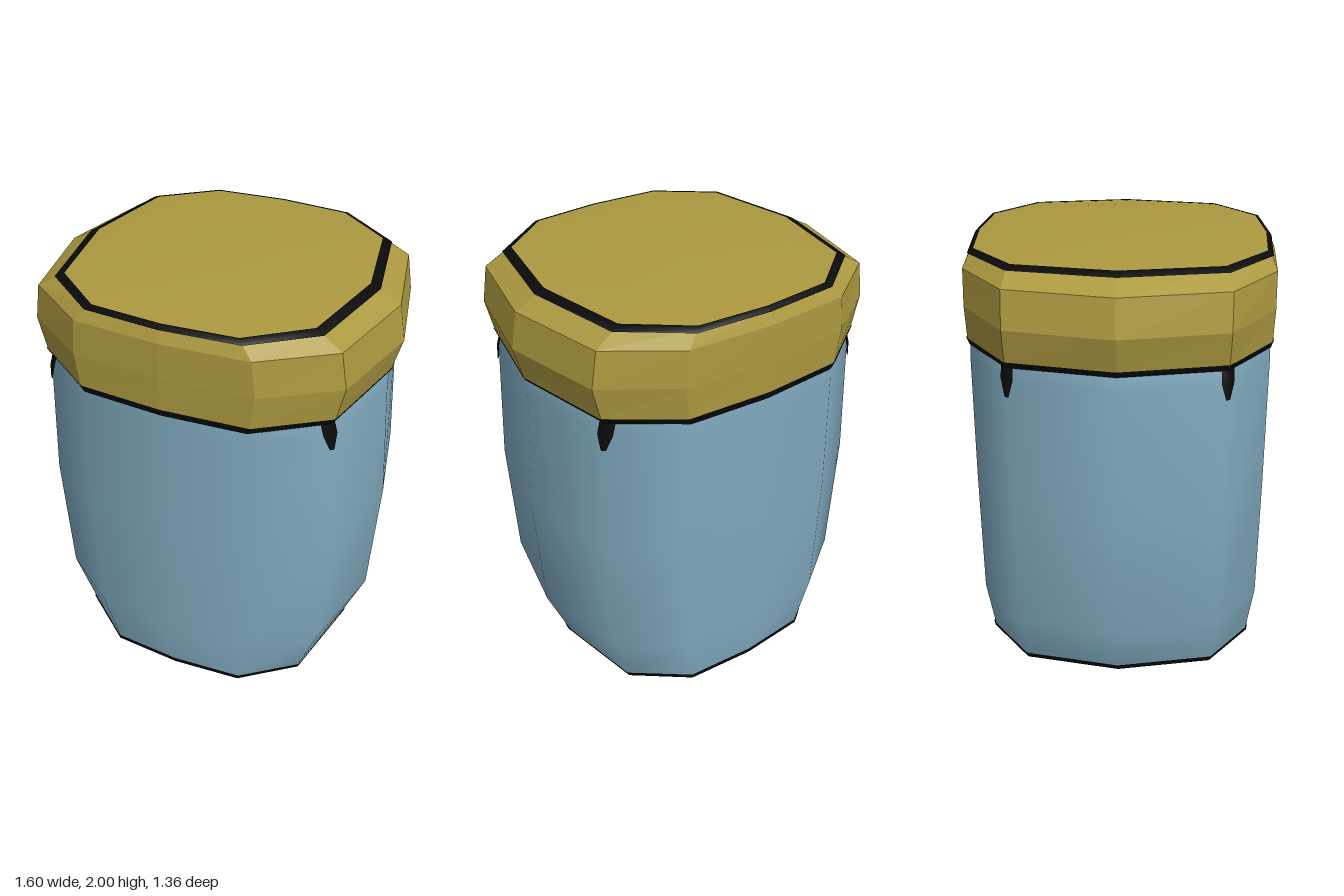
import * as THREE from 'three';

// Quarter of the twelve-sided outline, as fractions of the half width and half depth
const QUARTER = [[1, 0], [0.875, 0.67], [0.5, 0.963]];

// Full outline, counterclockwise seen from above
const OUTLINE = [];
for (let q = 0; q < 4; q++) {
  for (let k = 0; k < 3; k++) {
    if (q === 0) OUTLINE.push([QUARTER[k][0], -QUARTER[k][1]]);
    if (q === 1) OUTLINE.push(k === 0 ? [0, -1] : [-QUARTER[3 - k][0], -QUARTER[3 - k][1]]);
    if (q === 2) OUTLINE.push([-QUARTER[k][0], QUARTER[k][1]]);
    if (q === 3) OUTLINE.push(k === 0 ? [0, 1] : [QUARTER[3 - k][0], QUARTER[3 - k][1]]);
  }
}

// Skin through levels [half width, half depth, y], listed bottom to top on the outside
function loft(levels, faceted = false) {
  const n = OUTLINE.length, pos = [], idx = [];
  for (const [w, d, y] of levels) for (const [x, z] of OUTLINE) pos.push(x * w, y, z * d);
  for (let r = 0; r < levels.length - 1; r++) {
    for (let i = 0; i < n; i++) {
      const a = r * n + i, b = r * n + (i + 1) % n;
      idx.push(a, b, b + n, a, b + n, a + n);
    }
  }
  let g = new THREE.BufferGeometry();
  g.setAttribute('position', new THREE.Float32BufferAttribute(pos, 3));
  g.setIndex(idx);
  if (faceted) g = g.toNonIndexed();
  g.computeVertexNormals();
  return g;
}

// Small tapering ink mark folded around one corner of the jar
function dripGeometry(sx, sz) {
  const rows = [[0.734, 0.672, 1.6, 0.03], [0.757, 0.677, 1.53, 0.03], [0.761, 0.677, 1.46, 0.01]];
  const pos = [], idx = [];
  for (const [w, d, y, half] of rows) {
    const [side, corner, front] = QUARTER.map(([x, z]) => new THREE.Vector3(x * w, y, z * d));
    const toSide = side.sub(corner).setLength(half).add(corner);
    const toFront = front.sub(corner).setLength(half * 1.4).add(corner);
    for (const p of [toSide, corner, toFront]) pos.push(p.x * sx, p.y, p.z * sz);
  }
  for (let r = 0; r < 2; r++) {
    for (let c = 0; c < 2; c++) {
      const a = r * 3 + c;
      if (sx * sz > 0) idx.push(a, a + 1, a + 4, a, a + 4, a + 3);
      else idx.push(a, a + 4, a + 1, a, a + 3, a + 4);
    }
  }
  const g = new THREE.BufferGeometry();
  g.setAttribute('position', new THREE.Float32BufferAttribute(pos, 3));
  g.setIndex(idx);
  g.computeVertexNormals();
  return g;
}

export function createModel() {
  const glass = new THREE.MeshStandardMaterial({ color: 0x7fa8bd });
  glass.name = 'blue glass';
  const gold = new THREE.MeshStandardMaterial({ color: 0xac9940 });
  gold.name = 'gold lid';
  const ink = new THREE.MeshStandardMaterial({ color: 0x0a0a0a, side: THREE.DoubleSide });
  ink.name = 'black ink';

  const model = new THREE.Group();
  model.name = 'jar';
  const add = (name, geometry, material) => {
    const mesh = new THREE.Mesh(geometry, material);
    mesh.name = name;
    model.add(mesh);
  };

  // Jar: bulging smooth wall and shallow domed underside
  add('jarWall', loft([
    [0.64, 0.64, 0.08], [0.75, 0.67, 0.35], [0.785, 0.67, 0.95],
    [0.75, 0.67, 1.53], [0.72, 0.665, 1.61],
  ]), glass);
  add('jarUnderside', loft([[0, 0, 0], [0.48, 0.45, 0.015], [0.64, 0.64, 0.08]]), glass);

  // Lid: faceted rim and gently domed top
  add('lidRim', loft([
    [0.72, 0.66, 1.605], [0.76, 0.677, 1.61], [0.8, 0.68, 1.76],
    [0.77, 0.678, 1.92], [0.65, 0.65, 1.983],
  ], true), gold);
  add('lidTop', loft([[0.65, 0.65, 1.983], [0.49, 0.45, 1.998], [0, 0, 2]]), gold);

  // Ink lines along the lid edge, under the lid and around the base
  add('lidEdgeLine', loft([
    [0.679, 0.662, 1.972], [0.653, 0.653, 1.986], [0.635, 0.638, 1.988],
  ]), ink);
  add('underLidLine', loft([[0.735, 0.672, 1.58], [0.755, 0.675, 1.597], [0.764, 0.681, 1.614]]), ink);
  add('baseLine', loft([[0.637, 0.637, 0.07], [0.645, 0.645, 0.08], [0.656, 0.648, 0.105]]), ink);

  // Ink drips at the four corners
  for (const sx of [1, -1]) {
    for (const sz of [1, -1]) {
      add(`${sz > 0 ? 'front' : 'back'}${sx > 0 ? 'Left' : 'Right'}Drip`, dripGeometry(sx, sz), ink);
    }
  }
  return model;
}
